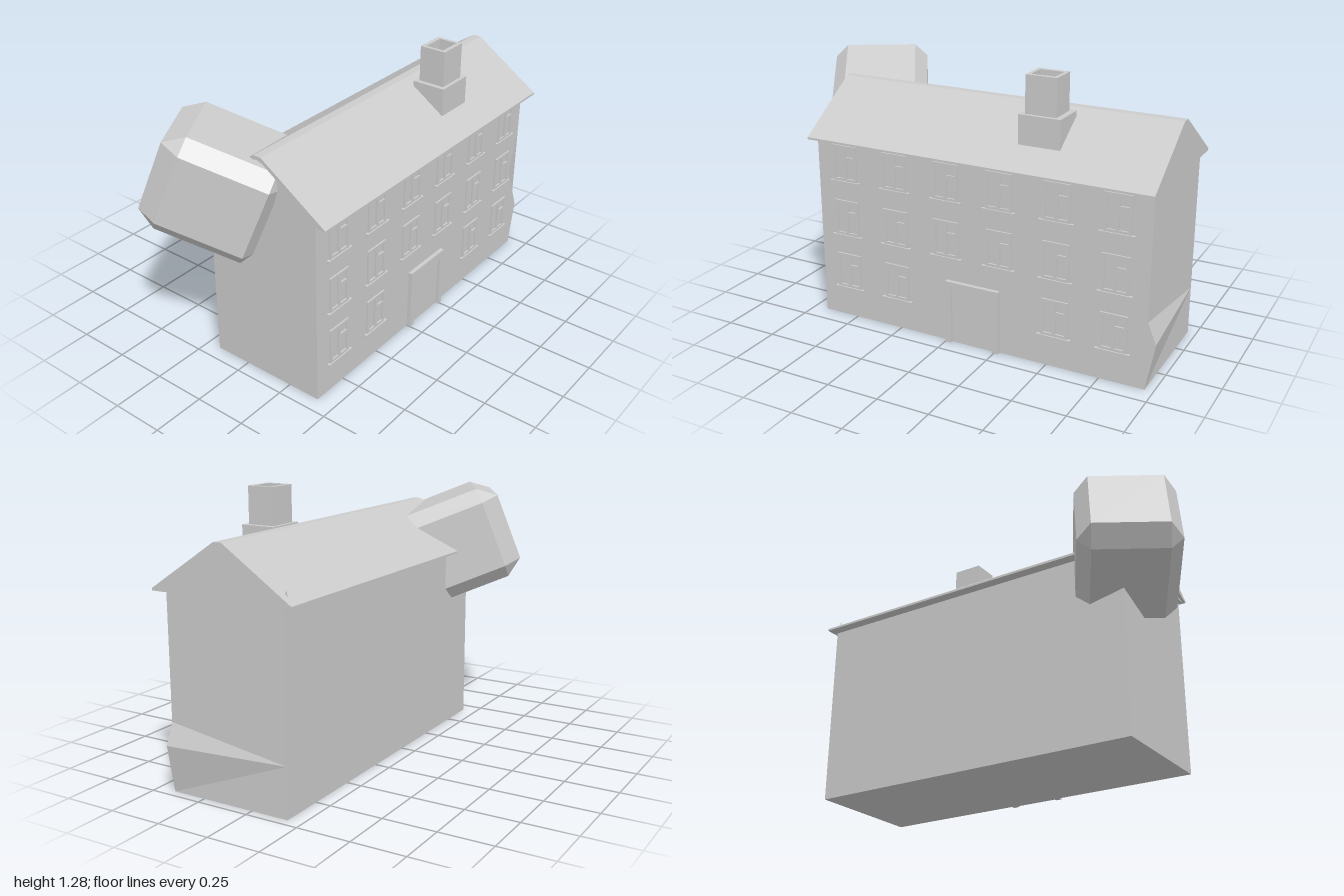
import * as THREE from 'three';
import { ConvexGeometry } from 'three/addons/geometries/ConvexGeometry.js';

const mat = new THREE.MeshStandardMaterial({ color: 0xcccccc, flatShading: true, side: THREE.DoubleSide });

function add(parent, name, geo, x = 0, y = 0, z = 0) {
  const m = new THREE.Mesh(geo, mat);
  m.name = name;
  m.position.set(x, y, z);
  parent.add(m);
  return m;
}

const outline = (pts) => new THREE.Shape(pts.map(([x, y]) => new THREE.Vector2(x, y)));
const rect = (x0, y0, x1, y1) => [[x0, y0], [x1, y0], [x1, y1], [x0, y1]];

function extrude(pts, depth, holes = []) {
  const s = outline(pts);
  s.holes = holes.map(outline);
  return new THREE.ExtrudeGeometry(s, { depth, bevelEnabled: false });
}

// flat convex panel from its corners
function panel(...corners) {
  const g = new THREE.BufferGeometry();
  const p = [];
  for (let i = 1; i < corners.length - 1; i++) p.push(...corners[0], ...corners[i], ...corners[i + 1]);
  g.setAttribute('position', new THREE.Float32BufferAttribute(p, 3));
  g.computeVertexNormals();
  return g;
}

const L = -0.18, R = 0.41, F = 0.68, B = -0.96, H = 0.885;

function makeWalls() {
  const g = new THREE.Group();
  g.name = 'walls';
  // facade with a dented, bulging rear edge
  add(g, 'facade', new THREE.ShapeGeometry(outline([
    [-F, 0], [-B, 0], [1.0, 0.22], [0.9, 0.46], [0.96, 0.67], [-B, H], [-F, H],
  ])).rotateY(Math.PI / 2), R);
  add(g, 'plainWall', panel([L, 0, B], [L, 0, F], [L, H, F], [L, H, B]));
  add(g, 'frontEndWall', panel([L, 0, F], [R, 0, F], [R, H, F], [L, H, F]));
  add(g, 'rearEndWall', panel([R, 0, B], [L, 0, B], [L, H, B], [R, H, B]));
  add(g, 'floor', panel([L, 0, B], [R, 0, B], [R, 0, F], [L, 0, F]));
  // wedge swelling out of the rear wall
  const crest = [R, 0.22, -1.0], tip = [L, 0.23, B];
  add(g, 'bulgeLower', panel([R, 0, B], [L, 0, B], tip, crest));
  add(g, 'bulgeUpper', panel(crest, tip, [R, 0.316, B]));
  return g;
}

function makeRoof() {
  const g = new THREE.Group();
  g.name = 'roof';
  const gable = [[-0.23, 0.885], [0.47, 0.885], [0.47, 0.895], [0.14, 1.115], [0.1, 1.115], [-0.23, 0.895]];
  add(g, 'roofBody', extrude(gable, 1.66), 0, 0, -0.98);
  // raised rim around the front gable
  add(g, 'gableRim', extrude([
    [-0.23, 0.885], [-0.19, 0.895], [0.105, 1.098], [0.135, 1.098], [0.43, 0.895], [0.47, 0.885],
    ...gable.slice(2),
  ], 0.012), 0, 0, 0.68);
  // wall corner poking through the roof
  add(g, 'roofSpike', new THREE.ConeGeometry(0.012, 0.04, 3), L, 0.93, -0.94);
  return g;
}

function makeChimney() {
  const g = new THREE.Group();
  g.name = 'chimney';
  add(g, 'chimneyBase', new THREE.BoxGeometry(0.165, 0.135, 0.195), 0.265, 1.0425, -0.42);
  const stack = extrude(rect(-0.065, -0.0725, 0.065, 0.0725), 0.17, [rect(-0.045, -0.055, 0.045, 0.055)]);
  add(g, 'chimneyStack', stack.rotateX(-Math.PI / 2), 0.265, 1.11, -0.418);
  return g;
}

function makeWindows() {
  const g = new THREE.Group();
  g.name = 'windows';
  // one tall pane beside two stacked panes
  const frame = extrude(rect(-0.064, 0, 0.064, 0.172), 0.008, [
    rect(-0.05, 0.012, -0.008, 0.16), rect(0.008, 0.012, 0.05, 0.105), rect(0.008, 0.118, 0.05, 0.16),
  ]).rotateY(Math.PI / 2);
  const sill = new THREE.BoxGeometry(0.014, 0.01, 0.16);
  [0.15, 0.42, 0.69].forEach((y, row) => {
    [0.532, 0.265, 0, -0.265, -0.537, -0.81].forEach((z, col) => {
      if (row === 0 && (col === 2 || col === 3)) return; // the door stands here
      add(g, 'windowFrame', frame, R, y, z);
      add(g, 'windowSill', sill, R + 0.007, y - 0.005, z);
    });
  });
  return g;
}

// chamfered boulder, tilted, built from its own three axes
function makeBoulder() {
  const corner = new THREE.Vector3(-0.198, 1.166, 0.91);
  const v = new THREE.Vector3(0.8, -0.364, -0.475);
  const u = new THREE.Vector3(-0.31, -0.932, 0.19);
  const w = new THREE.Vector3(-0.51, 0, -0.86);
  const outer = [[0, 0.515], [-0.067, 0.405], [-0.06, 0.396]];
  const inner = [[0.088, 0.48], [0, 0.338], [0, 0.336]];
  const pts = [];
  for (let axis = 0; axis < 3; axis++) {
    for (let i = 0; i < 8; i++) {
      const c = [0, 1, 2].map((k) => (k === axis ? outer : inner)[k][(i >> k) & 1]);
      pts.push(corner.clone().addScaledVector(v, c[0]).addScaledVector(u, c[1]).addScaledVector(w, c[2]));
    }
  }
  return new ConvexGeometry(pts);
}

export function createModel() {
  const model = new THREE.Group();
  model.name = 'house';
  model.add(makeWalls(), makeRoof(), makeChimney(), makeWindows());
  // door surround and leaf
  const surround = [[0, 0], [0.03, 0], [0.03, 0.27], [0.24, 0.27], [0.24, 0], [0.27, 0], [0.27, 0.305], [0, 0.305]];
  add(model, 'doorSurround', extrude(surround, 0.02).rotateY(Math.PI / 2), R);
  add(model, 'door', new THREE.BoxGeometry(0.006, 0.27, 0.21), R + 0.003, 0.135, -0.135);
  add(model, 'boulder', makeBoulder());
  return model;
}
